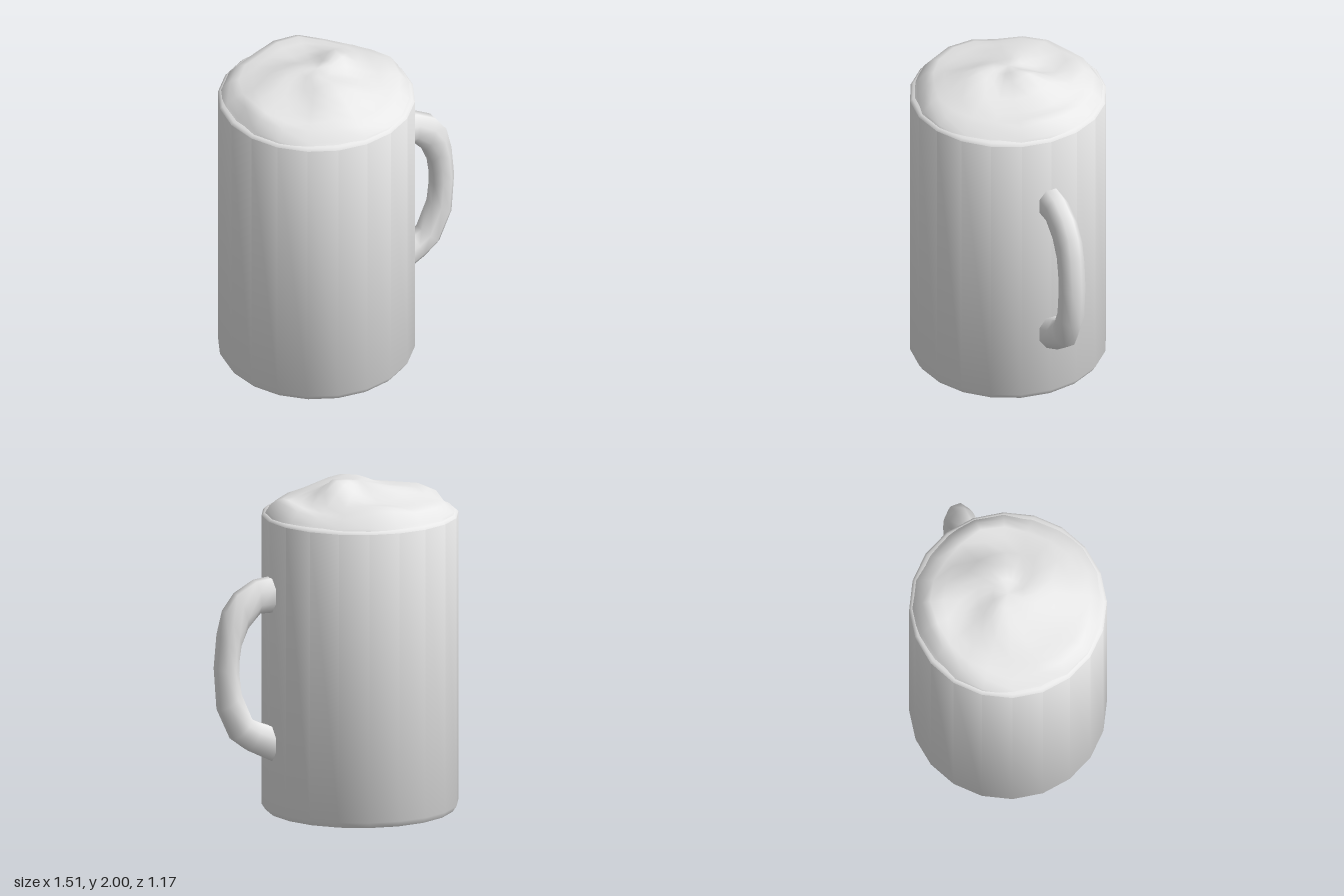
import * as THREE from 'three';
import { mergeVertices, toCreasedNormals } from 'three/addons/utils/BufferGeometryUtils.js';

const SIDES = 20;
const CENTRE_X = -0.175;

const lathe = (points) =>
  new THREE.LatheGeometry(points.map(([r, y]) => new THREE.Vector2(r, y)), SIDES);

// Lumpy foam: a dome whose surface is pushed up and down by soft bumps
function foamGeometry() {
  // x, z (about the mug's axis), height, spread
  const bumps = [
    [0.175, -0.04, 0.06, 0.12], [0.02, 0.2, 0.03, 0.15], [-0.06, -0.02, 0.02, 0.1],
    [0.46, -0.04, 0.035, 0.1], [-0.47, 0.06, 0.04, 0.1], [0.08, -0.48, 0.045, 0.12],
    [-0.1, 0.38, 0.045, 0.12], [-0.3, -0.3, 0.03, 0.09], [0.34, 0.28, -0.02, 0.12],
    [-0.36, 0.05, -0.02, 0.08], [0.05, -0.25, -0.02, 0.11], [0.33, -0.02, -0.02, 0.08],
  ];
  const profile = [
    [0.568, 1.78], [0.548, 1.805], [0.5, 1.852], [0.45, 1.868], [0.38, 1.885],
    [0.28, 1.915], [0.18, 1.935], [0.09, 1.945], [0, 1.95],
  ];
  let g = lathe(profile);
  const p = g.attributes.position;
  for (let i = 0; i < p.count; i++) {
    const x = p.getX(i), z = p.getZ(i), r = Math.hypot(x, z);
    if (r > 0.56) continue;
    const a = Math.atan2(z, x);
    // Fades out at the rim so the foam stays seated in the mug
    const fade = THREE.MathUtils.smoothstep(0.57 - r, 0, 0.08);
    let y = p.getY(i);
    for (const [bx, bz, h, s] of bumps) {
      y += fade * h * Math.exp(-((x - bx) ** 2 + (z - bz) ** 2) / (s * s));
    }
    // A gentle swirl around the middle and a wavy edge
    y += fade * 0.01 * Math.sin(3 * a + 14 * r) * Math.min(1, r / 0.15);
    const k = r > 0.4 ? 1 + 0.022 * Math.sin(5 * a + 1) : 1;
    p.setXYZ(i, x * k, Math.min(y, 2), z * k);
  }
  g.deleteAttribute('normal');
  g.deleteAttribute('uv');
  g = mergeVertices(g, 1e-4);
  g.computeVertexNormals();
  return g;
}

// Eight-sided handle swept through pairs of outer and inner edge points
function handleGeometry() {
  const sections = [
    [0.35, 1.44, 0.35, 1.235], [0.41, 1.44, 0.41, 1.235], [0.5, 1.43, 0.48, 1.235],
    [0.625, 1.36, 0.555, 1.155], [0.7, 1.26, 0.6, 1.05], [0.735, 1.12, 0.613, 0.96],
    [0.753, 0.92, 0.615, 0.89], [0.735, 0.67, 0.6, 0.76], [0.65, 0.485, 0.53, 0.6],
    [0.55, 0.41, 0.47, 0.57], [0.41, 0.34, 0.41, 0.547], [0.35, 0.32, 0.35, 0.525],
  ];
  const N = 8, pos = [], index = [];
  const unit = Math.cos(Math.PI / N);
  sections.forEach(([ox, oy, ix, iy], s) => {
    for (let j = 0; j < N; j++) {
      const a = ((j + 0.5) / N) * Math.PI * 2;
      const t = 0.5 + (0.5 * Math.cos(a)) / unit;
      pos.push(ix + (ox - ix) * t, iy + (oy - iy) * t, (0.074 * Math.sin(a)) / unit);
      if (s === 0) continue;
      const k = (j + 1) % N, b = s * N, c = b - N;
      index.push(c + j, c + k, b + j, c + k, b + k, b + j);
    }
  });
  const g = new THREE.BufferGeometry();
  g.setAttribute('position', new THREE.Float32BufferAttribute(pos, 3));
  g.setIndex(index);
  g.computeVertexNormals();
  return g;
}

export function createModel() {
  const grey = new THREE.MeshStandardMaterial({ color: 0xe7e7e7 });
  grey.name = 'light grey';

  const model = new THREE.Group();
  model.name = 'mug';
  const add = (name, geometry, x = 0) => {
    const mesh = new THREE.Mesh(geometry, grey);
    mesh.name = name;
    mesh.position.x = x;
    model.add(mesh);
  };

  // Straight body with a bevelled foot and a rounded rim turning inwards
  const body = lathe([
    [0, 0], [0.56, 0], [0.583, 0.035], [0.583, 1.775],
    [0.568, 1.79], [0.54, 1.798], [0.52, 1.77],
  ]);
  add('body', toCreasedNormals(body, 0.8), CENTRE_X);
  add('foam', foamGeometry(), CENTRE_X);
  add('handle', handleGeometry());
  return model;
}
